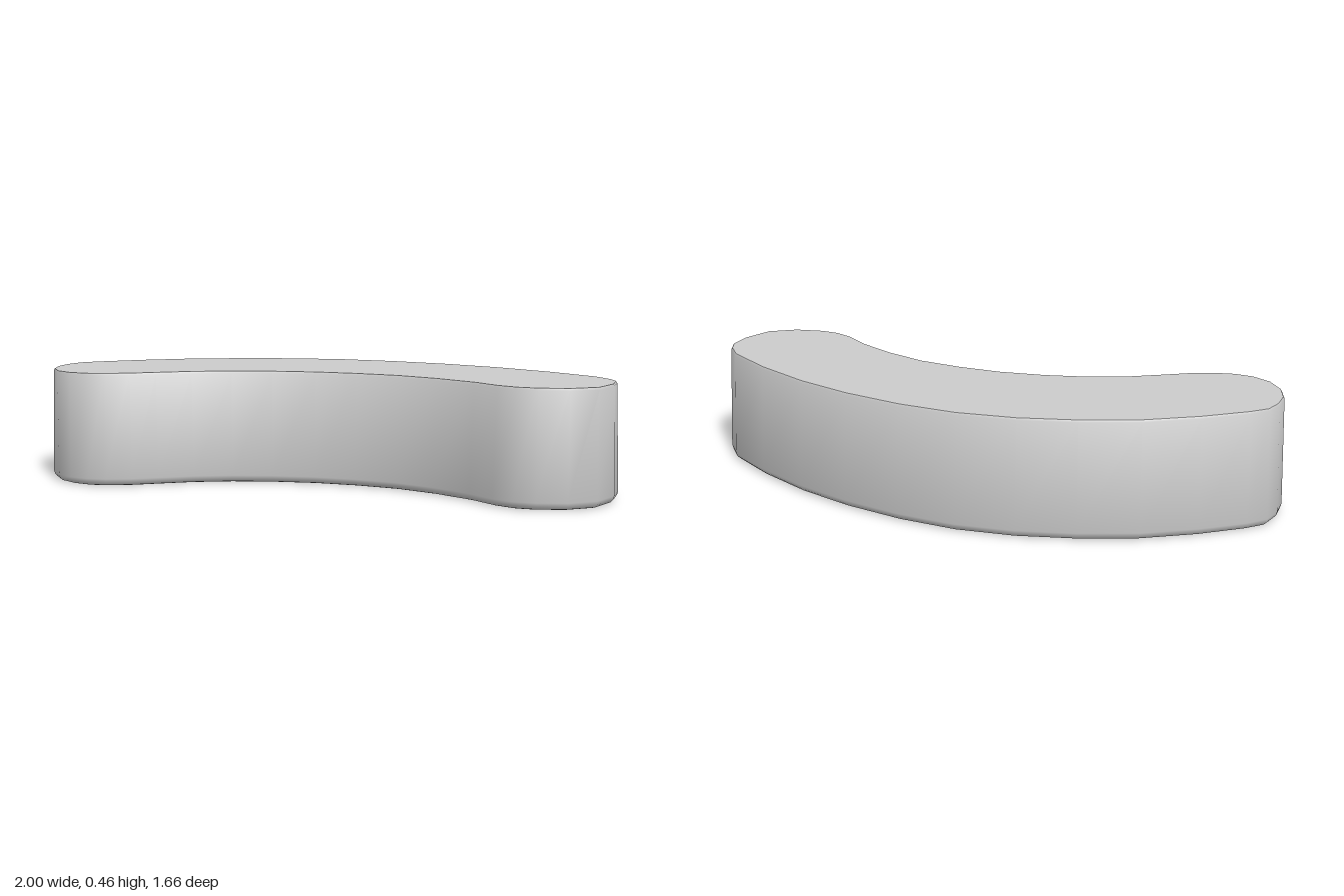
import * as THREE from 'three';
import { toCreasedNormals } from 'three/addons/utils/BufferGeometryUtils.js';

// Footprint of the curved bench as (x, z): outer arc, right end, inner arc, left end
const outline = [
  [-0.72, 0.825], [-0.82, 0.8], [-0.905, 0.745], [-0.965, 0.67], [-1, 0.59], [-0.99, 0.5],
  [-0.94, 0.31], [-0.86, 0.1], [-0.74, -0.1], [-0.6, -0.28], [-0.43, -0.44], [-0.23, -0.57],
  [0, -0.68], [0.235, -0.76], [0.49, -0.813], [0.73, -0.834], [0.835, -0.81], [0.9, -0.77],
  [0.963, -0.68], [1, -0.55], [0.965, -0.43], [0.89, -0.335], [0.82, -0.285], [0.73, -0.262],
  [0.6, -0.262], [0.417, -0.23], [0.25, -0.176], [0.096, -0.09], [-0.043, 0.01], [-0.17, 0.134],
  [-0.273, 0.262], [-0.353, 0.4], [-0.406, 0.535], [-0.445, 0.636], [-0.5, 0.725],
  [-0.556, 0.78], [-0.63, 0.815],
].map(([x, z]) => new THREE.Vector2(x, z));

const arcCentre = new THREE.Vector2(0.8, 0.7);

// Levels: height, even inset (rounded edges), taper inset (long sides only)
const levels = [
  [0, 0.03, 0], [0.004, 0.015, 0], [0.015, 0.004, 0], [0.03, 0, 0],
  [0.452, 0, 0.021], [0.46, 0.004, 0.022],
];

// Move the footprint inward; the taper fades out around the two ends
function ringAt([, inset, taper]) {
  const n = outline.length;
  return outline.map((p, i) => {
    const d = outline[(i + 1) % n].clone().sub(outline[(i + n - 1) % n]).normalize();
    const normal = new THREE.Vector2(d.y, -d.x);
    const radial = p.clone().sub(arcCentre).normalize();
    return p.clone().addScaledVector(normal, -inset - taper * Math.abs(normal.dot(radial)));
  });
}

function benchGeometry() {
  const n = outline.length;
  const positions = [];
  const index = [];
  const rings = levels.map(ringAt);
  rings.forEach((ring, j) => ring.forEach((p) => positions.push(p.x, levels[j][0], p.y)));

  // Side walls and rounded lower edge
  for (let j = 0; j < levels.length - 1; j++) {
    for (let i = 0; i < n; i++) {
      const a = j * n + i;
      const b = j * n + (i + 1) % n;
      index.push(a, a + n, b, b, a + n, b + n);
    }
  }

  // Flat underside and seat surface
  const cap = (j, up) => {
    const ring = rings[j];
    for (const [a, b, c] of THREE.ShapeUtils.triangulateShape(ring.slice(), [])) {
      const facesUp = THREE.ShapeUtils.area([ring[a], ring[b], ring[c]]) < 0;
      const tri = facesUp === up ? [a, b, c] : [a, c, b];
      index.push(...tri.map((k) => k + j * n));
    }
  };
  cap(0, false);
  cap(levels.length - 1, true);

  const geometry = new THREE.BufferGeometry();
  geometry.setAttribute('position', new THREE.Float32BufferAttribute(positions, 3));
  geometry.setIndex(index);
  return toCreasedNormals(geometry, 0.75);
}

export function createModel() {
  const group = new THREE.Group();
  group.name = 'curvedBench';
  const bench = new THREE.Mesh(
    benchGeometry(),
    new THREE.MeshStandardMaterial({ color: 0xcccccc }),
  );
  bench.name = 'benchBody';
  group.add(bench);
  return group;
}
